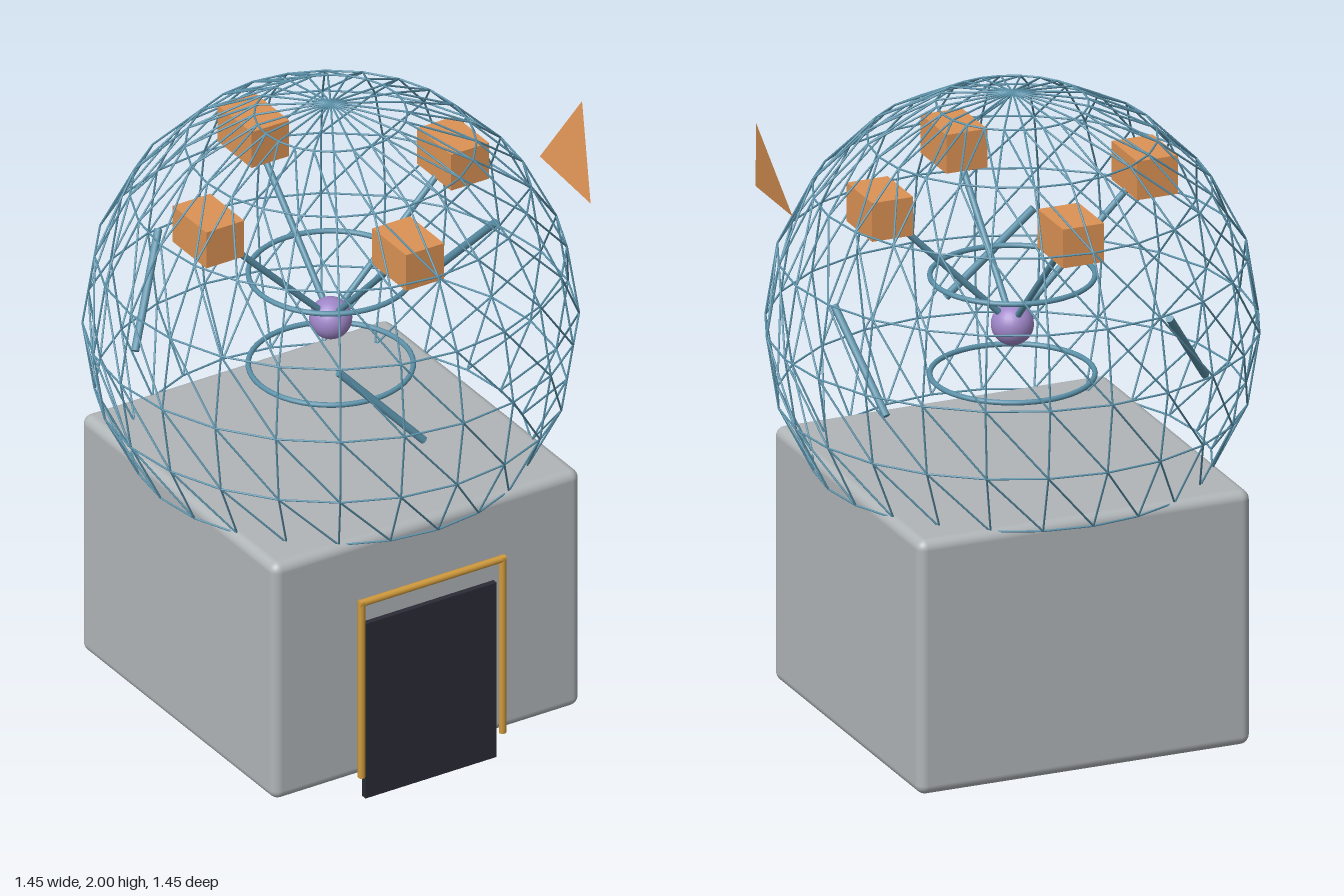
import * as THREE from 'three';
import { mergeGeometries } from 'three/addons/utils/BufferGeometryUtils.js';
import { RoundedBoxGeometry } from 'three/addons/geometries/RoundedBoxGeometry.js';

const material = (name, color, side = THREE.FrontSide) => {
  const m = new THREE.MeshStandardMaterial({ color, side });
  m.name = name;
  return m;
};
const V = (x, y, z) => new THREE.Vector3(x, y, z);

// Cylinder running from point a to point b
function rodGeometry(a, b, radius, sides = 12, open = false) {
  const dir = b.clone().sub(a);
  const geo = new THREE.CylinderGeometry(radius, radius, dir.length(), sides, 1, open);
  geo.applyQuaternion(new THREE.Quaternion().setFromUnitVectors(V(0, 1, 0), dir.normalize()));
  const mid = a.clone().add(b).multiplyScalar(0.5);
  return geo.translate(mid.x, mid.y, mid.z);
}

export function createModel() {
  const group = new THREE.Group();
  const stone = material('stone grey', 0xb0b5b8);
  const dark = material('door charcoal', 0x2b2b36);
  const gold = material('frame gold', 0xd09a3c);
  const teal = material('steel teal', 0x5a90a8);
  const copper = material('copper orange', 0xdb9254, THREE.DoubleSide);
  const violet = material('core violet', 0x9f86c8);

  const add = (name, geo, mat, x = 0, y = 0, z = 0) => {
    const mesh = new THREE.Mesh(geo, mat);
    mesh.name = name;
    mesh.position.set(x, y, z);
    group.add(mesh);
    return mesh;
  };

  const centreY = 1.276;
  const centre = V(0, centreY, 0);

  // Base block, door and door frame
  add('base', new RoundedBoxGeometry(1.055, 0.79, 1.055, 4, 0.03), stone, 0, 0.465, 0);
  add('door', new THREE.BoxGeometry(0.45, 0.585, 0.02), dark, 0, 0.2925, 0.535);
  for (const s of [-1, 1]) {
    add('framePost', rodGeometry(V(s * 0.242, 0.08, 0.55), V(s * 0.242, 0.67, 0.55), 0.011), gold);
  }
  add('frameLintel', rodGeometry(V(-0.25, 0.663, 0.55), V(0.25, 0.663, 0.55), 0.011), gold);

  // Lattice dome: a thin strut along every edge of a cut sphere
  const shell = new THREE.SphereGeometry(0.721, 24, 7, 0, Math.PI * 2, 0, Math.PI * 0.7);
  const edges = new THREE.WireframeGeometry(shell).attributes.position;
  const struts = [];
  const seen = new Set();
  for (let i = 0; i < edges.count; i += 2) {
    const a = new THREE.Vector3().fromBufferAttribute(edges, i);
    const b = new THREE.Vector3().fromBufferAttribute(edges, i + 1);
    const key = [a, b].map((p) => p.toArray().map((n) => Math.round(n * 1000)).join()).sort().join('|');
    if (a.distanceTo(b) < 0.001 || seen.has(key)) continue;
    seen.add(key);
    struts.push(rodGeometry(a, b, 0.003, 16, true));
  }
  add('latticeDome', mergeGeometries(struts), teal, 0, centreY, 0);

  // Core with four arms, each carrying a crate
  add('core', new THREE.SphereGeometry(0.063, 24, 16), violet, 0, centreY, 0);
  for (const [x, z] of [[1, 0], [-1, 0], [0, 1], [0, -1]]) {
    const end = V(x * 0.42, 1.697, z * 0.42);
    add('arm', rodGeometry(centre, end, 0.01), teal);
    add('crate', new THREE.BoxGeometry(0.13, 0.12, 0.184), copper, end.x, end.y, end.z);
  }

  // Two level rings around the core
  for (const y of [1.122, 1.428]) {
    add('ring', new THREE.TorusGeometry(0.24, 0.008, 12, 48).rotateX(Math.PI / 2), teal, 0, y, 0);
  }

  // Three slanted rods, a third of a turn apart
  for (let i = 0; i < 3; i++) {
    const rod = add('slantedRod', rodGeometry(V(0.565, 1.42, 0), V(0.51, 1.155, -0.25), 0.012), teal);
    rod.rotation.y = (i * Math.PI * 2) / 3;
  }

  // Loose triangular panel beside the dome
  const panel = new THREE.BufferGeometry().setFromPoints([
    V(0.648, 1.67, 0.11), V(0.697, 1.915, 0.262), V(0.636, 1.66, 0.405),
  ]);
  panel.computeVertexNormals();
  add('loosePanel', panel, copper);

  return group;
}
